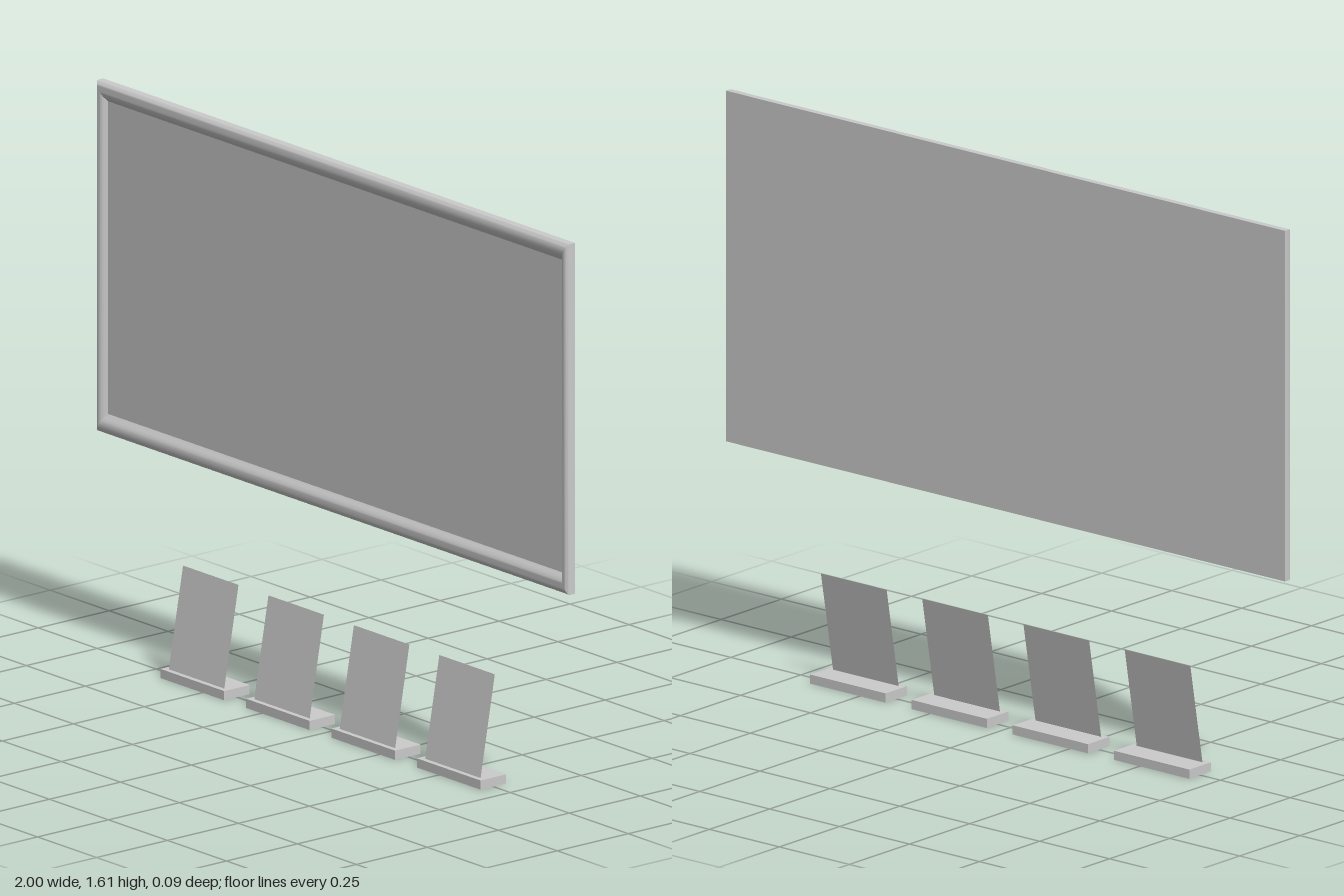
import * as THREE from 'three';
import { toCreasedNormals } from 'three/addons/utils/BufferGeometryUtils.js';

const material = new THREE.MeshStandardMaterial({ color: 0xcccccc });
const thin = new THREE.MeshStandardMaterial({ color: 0xcccccc, side: THREE.DoubleSide });

const BOTTOM = 0.617, TOP = 1.61, BACK = -0.021, PANEL = -0.008;
const RIM_X = 0.037, RIM_Y = 0.054;

function addMesh(parent, name, geometry, mat = material) {
  const mesh = new THREE.Mesh(geometry, mat);
  mesh.name = name;
  parent.add(mesh);
  return mesh;
}

// Corner of the moulding, inset by a fraction t of the rim width
function corner(k, t, z) {
  const sx = k === 0 || k === 3 ? -1 : 1;
  return [sx * (1 - RIM_X * t), k < 2 ? BOTTOM + RIM_Y * t : TOP - RIM_Y * t, z];
}

// Mitred moulding: a rounded profile swept along the four sides
function mouldingGeometry() {
  const profile = [[0, BACK], [0, -0.004]];
  for (let i = 1; i <= 8; i++) { // rounded ridge
    const a = Math.PI * (1 - i / 11);
    profile.push([0.4 + 0.4 * Math.cos(a), -0.004 + 0.013 * Math.sin(a)]);
  }
  profile.push([0.8, 0.001], [0.9, -0.004], [1, PANEL]);
  const positions = [];
  for (let k = 0; k < 4; k++) {
    const n = (k + 1) % 4;
    for (let i = 0; i < profile.length - 1; i++) {
      const p = profile[i], q = profile[i + 1];
      const a = corner(k, ...p), b = corner(n, ...p), c = corner(n, ...q), d = corner(k, ...q);
      positions.push(...a, ...b, ...c, ...a, ...c, ...d);
    }
  }
  const geometry = new THREE.BufferGeometry();
  geometry.setAttribute('position', new THREE.Float32BufferAttribute(positions, 3));
  return toCreasedNormals(geometry, 0.6);
}

function createBoard() {
  const board = new THREE.Group();
  board.name = 'framedBoard';
  const midY = (BOTTOM + TOP) / 2, height = TOP - BOTTOM;
  addMesh(board, 'frameMoulding', mouldingGeometry());
  addMesh(board, 'frontPanel', new THREE.PlaneGeometry(2 - 2 * RIM_X, height - 2 * RIM_Y))
    .position.set(0, midY, PANEL);
  const back = addMesh(board, 'backPanel', new THREE.PlaneGeometry(2, height));
  back.position.set(0, midY, BACK);
  back.rotation.y = Math.PI;
  return board;
}

// Small stand: a flat base with a thin plate leaning backwards
function createStand(x) {
  const stand = new THREE.Group();
  stand.name = 'cardStand';
  stand.position.x = x;
  addMesh(stand, 'standBase', new THREE.BoxGeometry(0.27, 0.026, 0.09)).position.y = 0.013;
  const low = [0.026, 0.03], high = [0.31, -0.02]; // y, z
  const rise = high[0] - low[0], lean = low[1] - high[1];
  const plate = addMesh(stand, 'standPlate',
    new THREE.PlaneGeometry(0.235, Math.hypot(rise, lean)), thin);
  plate.position.set(0, (low[0] + high[0]) / 2, (low[1] + high[1]) / 2);
  plate.rotation.x = -Math.atan2(lean, rise);
  return stand;
}

export function createModel() {
  const model = new THREE.Group();
  model.name = 'boardWithStands';
  model.add(createBoard());
  for (let i = 0; i < 4; i++) model.add(createStand((i - 1.5) * 0.362));
  return model;
}
